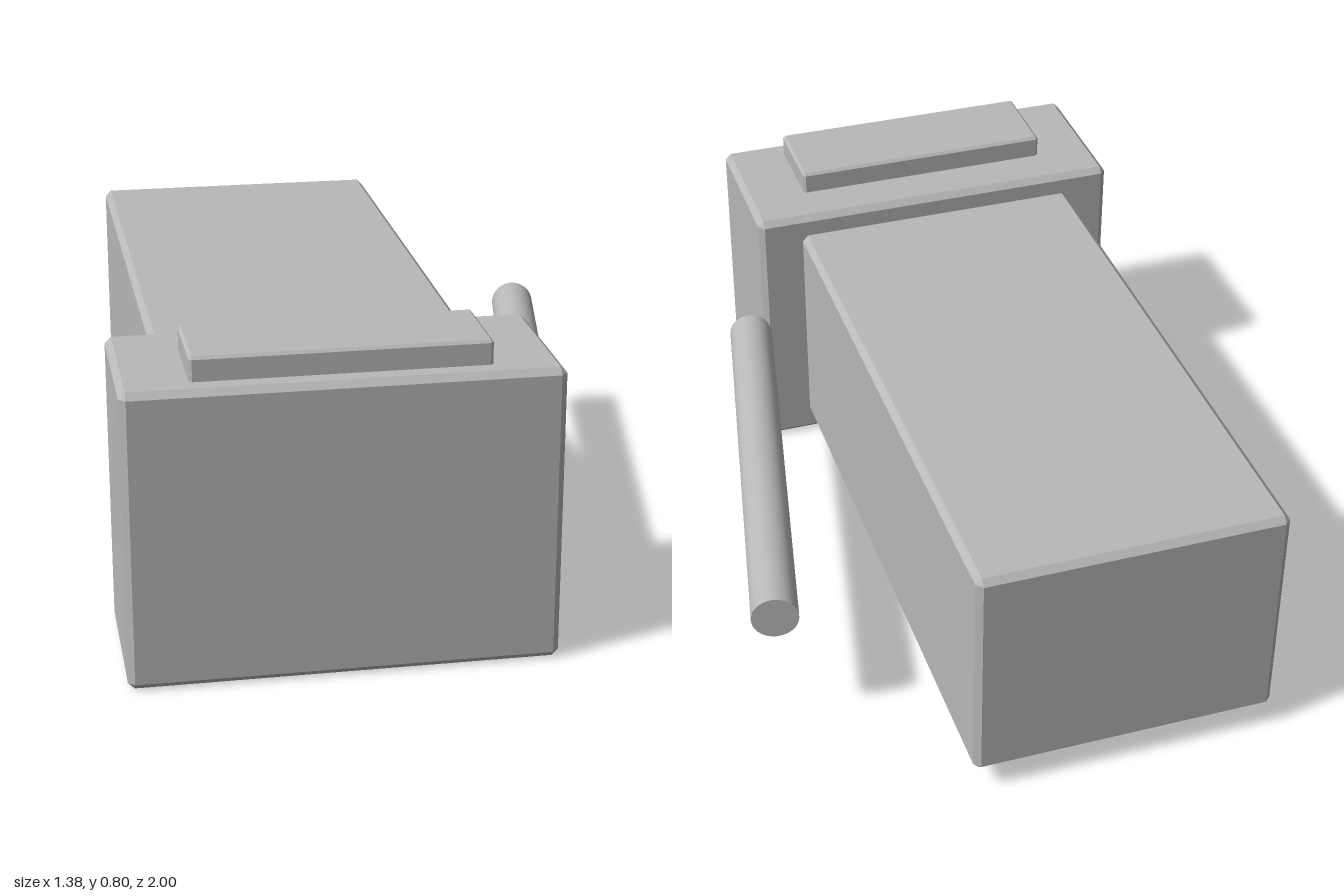
import * as THREE from 'three';
import { ConvexGeometry } from 'three/addons/geometries/ConvexGeometry.js';

const grey = new THREE.MeshStandardMaterial({ color: 0xb8b8b8 });
grey.name = 'plain grey';

// Box with flat chamfers on every edge, given by its min and max corners
function chamferBox(name, min, max, c) {
  const half = min.map((v, i) => (max[i] - v) / 2);
  const points = [];
  for (const sx of [-1, 1]) for (const sy of [-1, 1]) for (const sz of [-1, 1]) {
    for (let face = 0; face < 3; face++) {
      const h = half.map((v, i) => (i === face ? v : v - c));
      points.push(new THREE.Vector3(sx * h[0], sy * h[1], sz * h[2]));
    }
  }
  const mesh = new THREE.Mesh(new ConvexGeometry(points), grey);
  mesh.name = name;
  mesh.position.set(...min.map((v, i) => (v + max[i]) / 2));
  return mesh;
}

// Round bar between two points
function rod(name, a, b, radius) {
  const dir = b.clone().sub(a);
  const mesh = new THREE.Mesh(new THREE.CylinderGeometry(radius, radius, dir.length(), 48), grey);
  mesh.name = name;
  mesh.position.copy(a).add(b).multiplyScalar(0.5);
  mesh.quaternion.setFromUnitVectors(new THREE.Vector3(0, 1, 0), dir.normalize());
  return mesh;
}

export function createModel() {
  const model = new THREE.Group();
  model.name = 'blockWithLever';
  model.add(
    // wide block at the front
    chamferBox('frontBlock', [-0.69, 0, 0.573], [0.35, 0.74, 1], 0.016),
    // long body behind, seated slightly into the front block
    chamferBox('rearBody', [-0.57, 0.065, -1], [0.226, 0.68, 0.6], 0.016),
    // raised plate on top
    chamferBox('topPlate', [-0.525, 0.73, 0.704], [0.185, 0.8, 0.943], 0.007),
    // slanted side lever
    rod('sideLever', new THREE.Vector3(0.387, 0.37, 0.594), new THREE.Vector3(0.627, 0.37, -0.632), 0.06),
  );
  return model;
}
